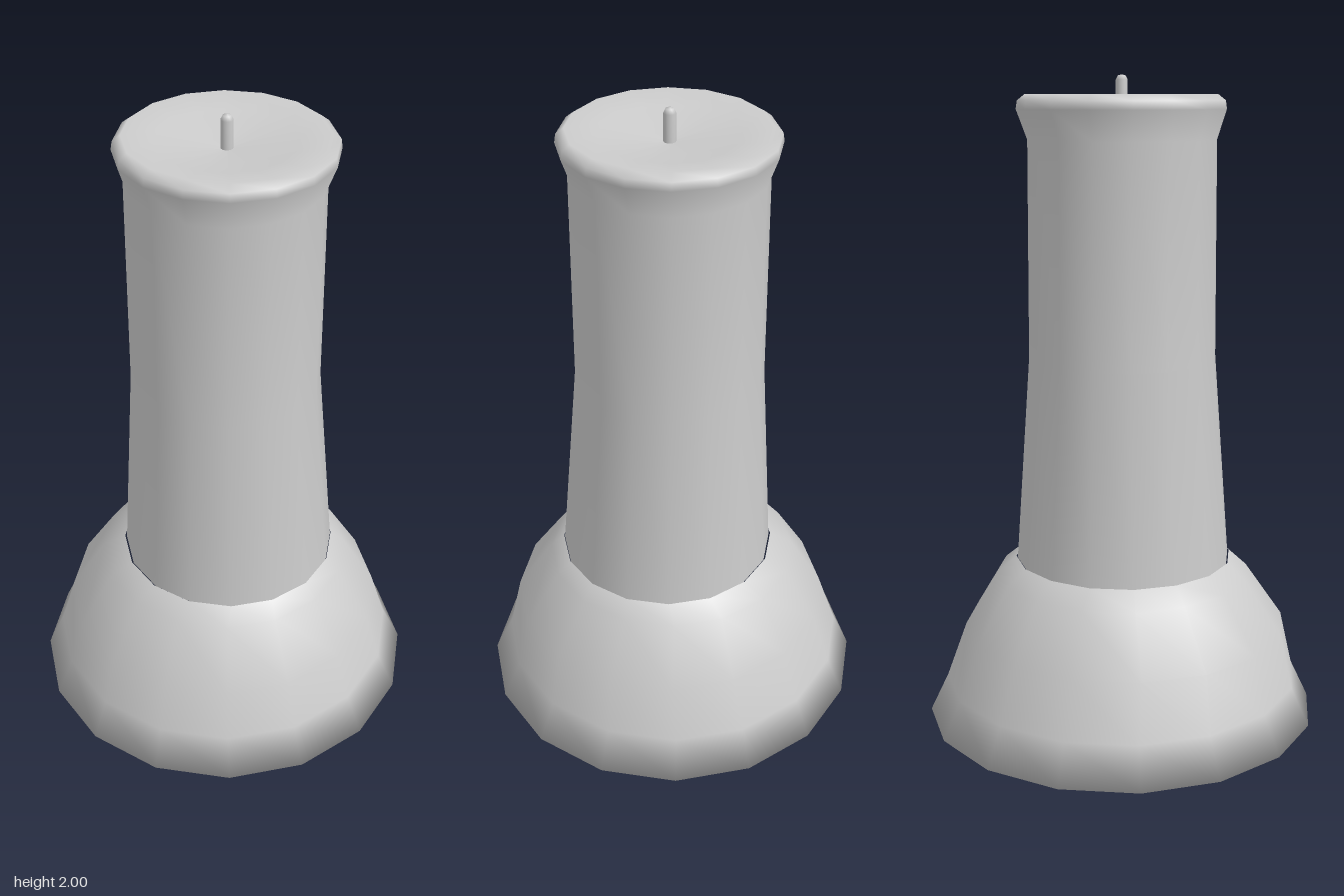
import * as THREE from 'three';

const SIDES = 16;

// Turned surface from rings [radius, height, centre x, centre z]; each ring is nudged off axis
function turned(name, rings, material) {
  const points = rings.map(([r, y]) => new THREE.Vector2(r, y));
  const geometry = new THREE.LatheGeometry(points, SIDES);
  const pos = geometry.attributes.position;
  for (let i = 0; i < pos.count; i++) {
    const [, , cx = 0, cz = 0] = rings[i % rings.length];
    pos.setX(i, pos.getX(i) + cx);
    pos.setZ(i, pos.getZ(i) + cz);
  }
  const mesh = new THREE.Mesh(geometry, material);
  mesh.name = name;
  return mesh;
}

export function createModel() {
  const group = new THREE.Group();
  group.name = 'flaredColumn';
  const grey = new THREE.MeshStandardMaterial({ color: 0xcccccc });

  // Wide bell-shaped foot with a closed underside
  group.add(turned('base', [
    [0, 0],
    [0.617, 0],
    [0.56, 0.12, -0.003, 0],
    [0.51, 0.29, 0, 0.012],
    [0.4, 0.46, 0, 0.004],
    [0.342, 0.505, 0.016, 0.008],
  ], grey));

  // Tapering shaft that becomes straight, then flares into a rim around a dished top
  group.add(turned('shaft', [
    [0.338, 0.5, 0.018, 0.008],
    [0.29, 1.15, 0.006, 0.005],
    [0.286, 1.81, 0.006, 0.005],
    [0.317, 1.9, 0.008, 0.003],
    [0.313, 1.925, 0.008, 0.003],
    [0.29, 1.943, 0.008, 0.003],
    [0.2, 1.925, 0.008, 0.003],
    [0, 1.9, 0.008, 0.003],
  ], grey));

  // Small round-tipped pin standing in the dish
  group.add(turned('pin', [
    [0.018, 1.88, 0.008, 0.002],
    [0.018, 1.985, 0.008, 0.002],
    [0.012, 1.997, 0.008, 0.002],
    [0, 2, 0.008, 0.002],
  ], grey));

  return group;
}
